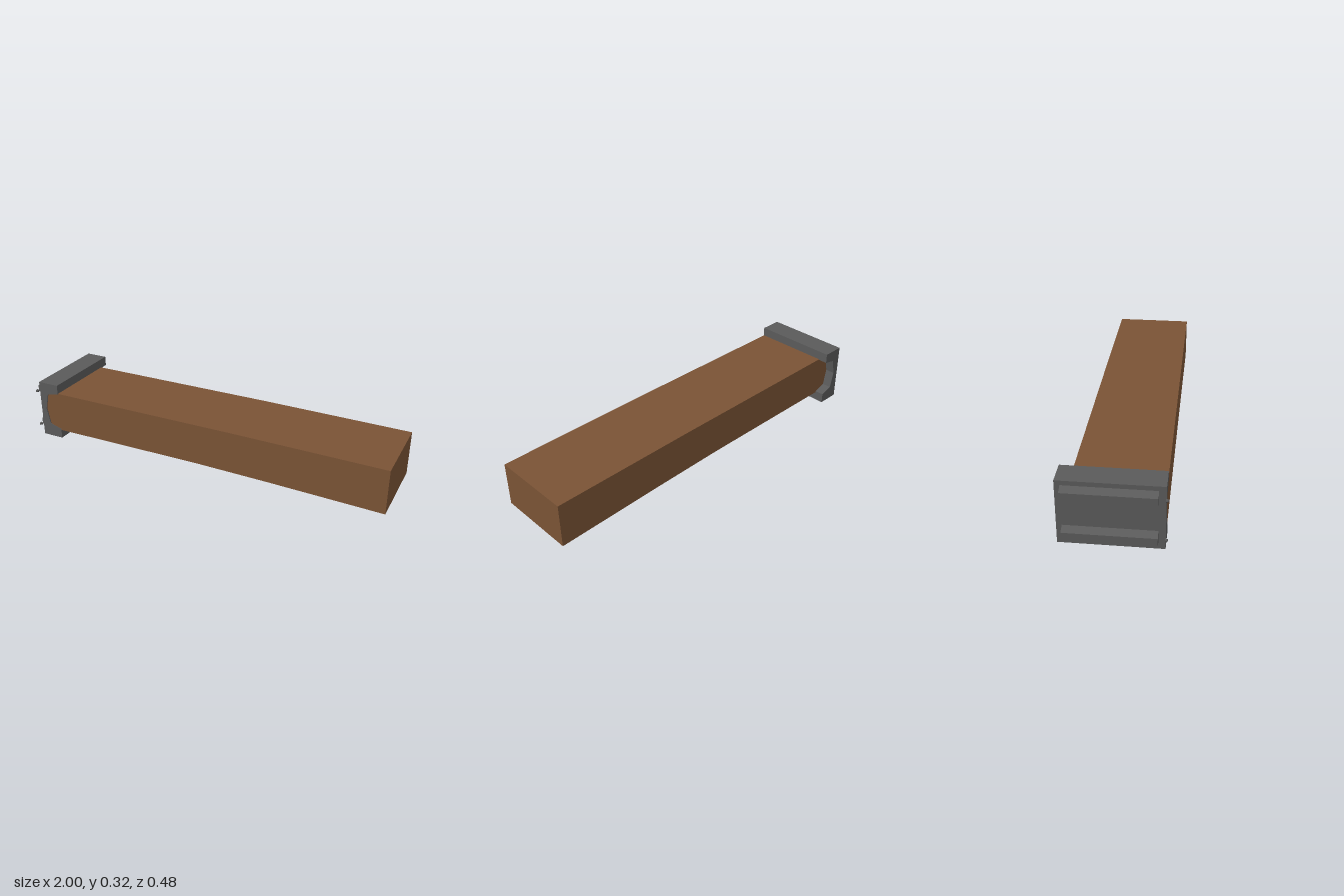
import * as THREE from 'three';

const wood = new THREE.MeshStandardMaterial({ color: 0x7a5335, flatShading: true });
const metal = new THREE.MeshStandardMaterial({ color: 0x5a5a5a, flatShading: true });

// Extrudes an (x, y) outline along z from z0 to z1
function prism(name, points, z0, z1, material) {
  const shape = new THREE.Shape(points.map(([x, y]) => new THREE.Vector2(x, y)));
  const geometry = new THREE.ExtrudeGeometry(shape, { depth: z1 - z0, bevelEnabled: false });
  geometry.translate(0, 0, z0);
  const mesh = new THREE.Mesh(geometry, material);
  mesh.name = name;
  return mesh;
}

export function createModel() {
  const model = new THREE.Group();
  model.name = 'clampedBeam';

  // Slightly sagging timber with a chamfered nose seated in the clamp
  model.add(prism('beam', [
    [-0.93, 0.168], [-0.912, 0.077], [-0.845, 0.048], [0, 0.051], [0.4, 0.045], [1, 0.031],
    [1, 0.265], [0.2, 0.271], [-0.845, 0.271], [-0.912, 0.253],
  ], -0.19, 0.23, wood));

  // Clamp block with a faceted groove open towards the beam
  model.add(prism('clamp', [
    [-0.965, 0], [-0.845, 0], [-0.845, 0.055], [-0.914, 0.075], [-0.933, 0.165],
    [-0.914, 0.253], [-0.845, 0.267], [-0.845, 0.32], [-0.965, 0.32],
  ], -0.24, 0.232, metal));

  // Two tapered rails on the outer face, each with a small end stud
  for (const y of [0.06, 0.264]) {
    model.add(prism('rail', [
      [-0.965, y - 0.034], [-0.965, y + 0.034], [-1, y + 0.018], [-1, y - 0.018],
    ], -0.215, 0.2, metal));

    const stud = new THREE.Mesh(new THREE.CylinderGeometry(0.006, 0.009, 0.011, 8), metal);
    stud.name = 'railStud';
    stud.rotation.x = Math.PI / 2;
    stud.position.set(-0.982, y, 0.2355);
    model.add(stud);
  }
  return model;
}
